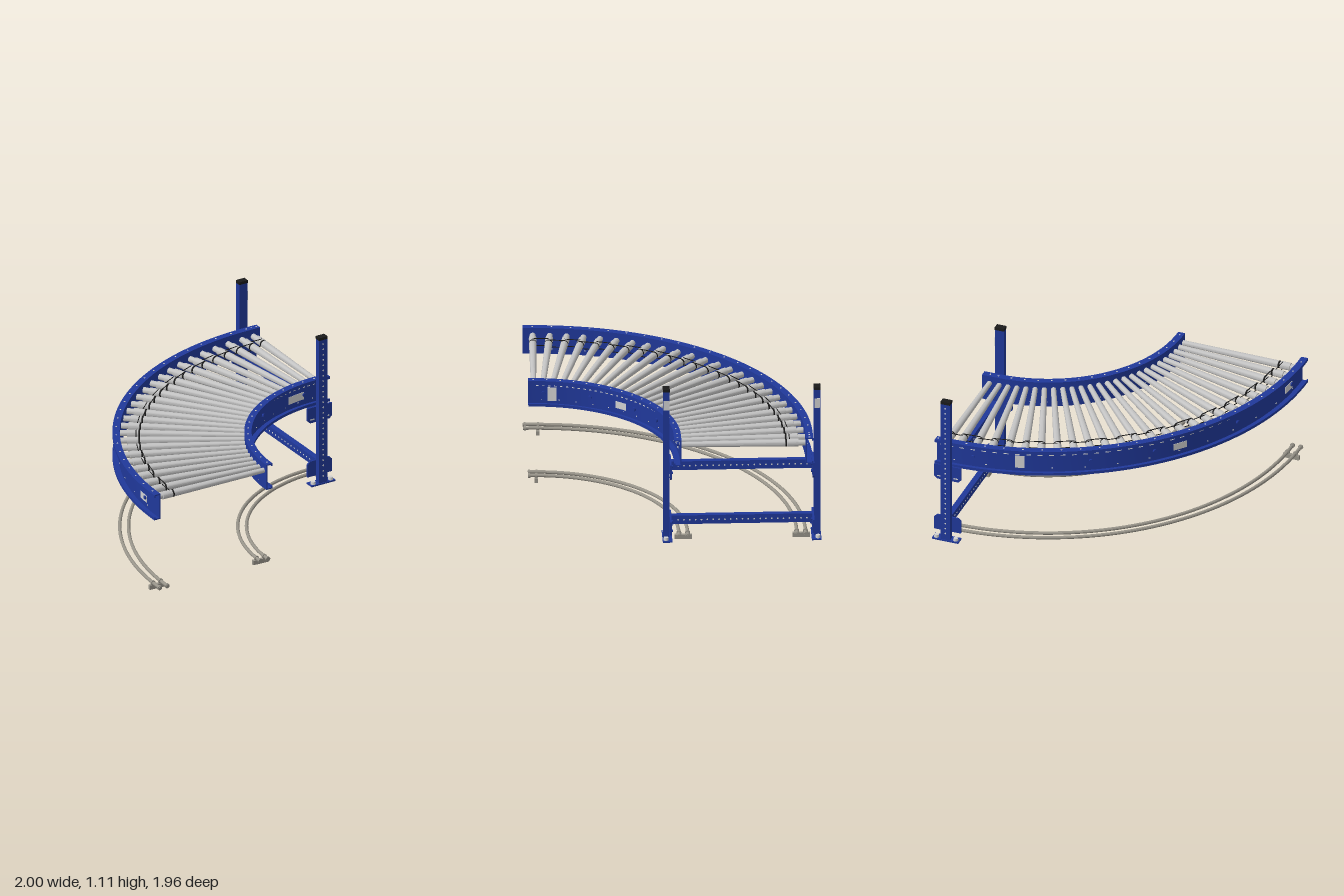
import * as THREE from 'three';
import { mergeGeometries, toCreasedNormals } from 'three/addons/utils/BufferGeometryUtils.js';

const CX = 0.9, CZ = 0.98; // centre of the bend
const RAD = Math.PI / 180;

const paint = (name, color, side = THREE.FrontSide) => {
  const m = new THREE.MeshStandardMaterial({ color, side });
  m.name = name;
  return m;
};

// Point on the bend: 0..90 degrees is the arc, 90..100 the short straight run-out.
function bend(r, t) {
  if (t > 90) return [CX + (t - 90) * 0.01, CZ - r];
  return [CX - r * Math.cos(t * RAD), CZ - r * Math.sin(t * RAD)];
}

// Sweep a closed (radius, height) profile along the bend, with end caps.
function sweep(profile, t0 = 0, t1 = 100, step = 2) {
  const pts = profile.map(([r, y]) => new THREE.Vector2(r, y));
  if (THREE.ShapeUtils.isClockWise(pts)) pts.reverse();
  const stops = [t0];
  for (let t = t0 + step; t < Math.min(t1, 90) - 0.01; t += step) stops.push(t);
  if (t1 > 90 && t0 < 90) stops.push(90);
  stops.push(t1);
  const n = pts.length, pos = [], idx = [];
  for (const t of stops) for (const p of pts) {
    const [x, z] = bend(p.x, t);
    pos.push(x, p.y, z);
  }
  for (let i = 0; i < stops.length - 1; i++) for (let j = 0; j < n; j++) {
    const k = (j + 1) % n;
    const a = i * n + j, b = i * n + k, c = b + n, d = a + n;
    idx.push(a, b, c, a, c, d);
  }
  const last = (stops.length - 1) * n;
  for (const [a, b, c] of THREE.ShapeUtils.triangulateShape(pts, [])) {
    idx.push(a, c, b, last + a, last + b, last + c);
  }
  const g = new THREE.BufferGeometry();
  g.setAttribute('position', new THREE.Float32BufferAttribute(pos, 3));
  g.setIndex(idx);
  return toCreasedNormals(g, 0.6);
}

const rect = (r0, r1, y0, y1) => [[r0, y0], [r1, y0], [r1, y1], [r0, y1]];
const ring = (r, y, rad, n = 10) => Array.from({ length: n }, (_, i) =>
  [r + rad * Math.cos(i / n * 2 * Math.PI), y + rad * Math.sin(i / n * 2 * Math.PI)]);

export function createModel() {
  const model = new THREE.Group();
  model.name = 'curvedRollerConveyor';
  const blue = paint('blue paint', 0x20389a);
  const steel = paint('roller steel', 0xc2c2c2);
  const tubeGrey = paint('track grey', 0x98948a);
  const black = paint('black rubber', 0x1a1a1a);
  const pale = paint('pale grey', 0xd2d2d2, THREE.DoubleSide);

  const add = (name, geo, mat, x = 0, y = 0, z = 0, parent = model) => {
    const m = new THREE.Mesh(geo, mat);
    m.name = name;
    m.position.set(x, y, z);
    parent.add(m);
    return m;
  };

  // Side rails: lipped channels with the web on the roller side
  function rail(name, web, s, labels) {
    const g = new THREE.Group();
    g.name = name;
    model.add(g);
    const T = 0.008, W = 0.05, y0 = 0.572, y1 = 0.762, L = 0.02;
    const outline = [[0, y0], [W, y0], [W, y0 + L], [W - T, y0 + L], [W - T, y0 + T], [T, y0 + T],
      [T, y1 - T], [W - T, y1 - T], [W - T, y1 - L], [W, y1 - L], [W, y1], [0, y1]];
    add('channel', sweep(outline.map(([d, y]) => [web + s * d, y])), blue, 0, 0, 0, g);

    // Slots, holes and labels on the outer face of the web
    const face = web + s * T, skin = face + s * 0.002;
    const marks = [];
    for (let t = 3; t < 97; t += 2.4) marks.push(sweep(rect(face, skin, 0.707, 0.713), t, t + 1));
    for (let t = 5; t < 90; t += 7) marks.push(sweep(rect(face, skin, 0.604, 0.611), t, t + 0.35));
    add('webSlots', mergeGeometries(marks), pale, 0, 0, 0, g);
    const plates = labels.map(([t, half, a, b]) => sweep(rect(face, skin + s * 0.001, a, b), t - half, t + half));
    add('labels', mergeGeometries(plates), pale, 0, 0, 0, g);
    const bolts = [6, 25, 46, 60, 85].map(t => {
      const b = new THREE.CylinderGeometry(0.014, 0.014, 0.014, 6).rotateZ(Math.PI / 2).rotateY(-t * RAD);
      const [x, z] = bend(face + s * 0.005, t);
      return b.translate(x, 0.655, z);
    });
    add('webBolts', mergeGeometries(bolts), blue, 0, 0, 0, g);

    // Small holes on the roller face and on the top flange
    const inner = [], top = [];
    for (let t = 6; t < 90; t += 7) inner.push(sweep(rect(web, web - s * 0.002, 0.604, 0.61), t, t + 0.3));
    for (let t = 2; t < 100; t += 3.9 * 1.4 / Math.sqrt(web)) {
      const [x, z] = bend(web + s * W / 2, t);
      top.push(new THREE.CylinderGeometry(0.006, 0.006, 0.002, 8).translate(x, y1 + 0.001, z));
    }
    add('innerHoles', mergeGeometries(inner), pale, 0, 0, 0, g);
    add('flangeHoles', mergeGeometries(top), pale, 0, 0, 0, g);
  }
  rail('outerRail', 1.85, 1, [[75, 1, 0.605, 0.7], [40, 1.6, 0.62, 0.67], [7, 1.6, 0.62, 0.67]]);
  rail('innerRail', 1.0, -1, [[9.4, 1.8, 0.6, 0.7], [39, 2.6, 0.62, 0.67], [81, 4, 0.62, 0.675]]);

  // Tapered rollers with a grooved drive collar at the outer end
  const rollerGeo = toCreasedNormals(new THREE.LatheGeometry([[0, 1], [0.018, 1], [0.026, 1.71],
    [0.022, 1.712], [0.022, 1.723], [0.027, 1.725], [0.027, 1.8], [0.021, 1.802], [0.021, 1.85], [0, 1.85]]
    .map(p => new THREE.Vector2(...p)), 18), 0.6).rotateZ(Math.PI / 2);
  const bandGeo = new THREE.CylinderGeometry(0.0265, 0.0265, 0.01, 18, 1)
    .translate(0, 1.7175, 0).rotateZ(Math.PI / 2);
  const rollers = new THREE.Group();
  rollers.name = 'rollers';
  model.add(rollers);
  const ROLLER_Y = 0.707;
  for (let i = 0; i < 26; i++) {
    const straight = i === 25;
    const t = straight ? 90 : 2.1 + i * 3.6;
    const r = add('roller', rollerGeo, steel, CX + (straight ? 0.045 : 0), ROLLER_Y, CZ, rollers);
    r.rotation.y = -t * RAD;
    add('rollerBand', bandGeo, black, 0, 0, 0, r);
  }

  // Drive belts linking neighbouring rollers, staggered between two grooves
  const belts = [];
  for (let i = 0; i < 25; i++) {
    const t = 2.1 + i * 3.6, r = i % 2 ? 1.717 : 1.74;
    for (const dy of [-0.026, 0.026]) {
      belts.push(sweep(ring(r, ROLLER_Y + dy, 0.003, 6), t, i === 24 ? 94.5 : t + 3.6, 4));
    }
  }
  add('driveBelts', mergeGeometries(belts), black);

  // Floor tracks: twin bent tubes on small brackets
  const across = new THREE.BoxGeometry(0.12, 0.032, 0.022);
  for (const [name, r] of [['outerTrack', 1.82], ['innerTrack', 1.015]]) {
    const g = new THREE.Group();
    g.name = name;
    model.add(g);
    for (const d of [-0.03, 0.03]) {
      add('tube', sweep(ring(r + d, 0.044, 0.012)), tubeGrey, 0, 0, 0, g);
      for (const t of [0.4, 3.2, 93, 99]) {
        const [x, z] = bend(r + d, t);
        const c = add('clamp', new THREE.CylinderGeometry(0.017, 0.017, 0.014, 12).rotateX(Math.PI / 2),
          tubeGrey, x, 0.044, z, g);
        c.rotation.y = -Math.min(t, 90) * RAD;
      }
    }
    for (const t of [3.2, 93]) {
      const [x, z] = bend(r, t);
      add('bracket', across, tubeGrey, x, 0.016, z, g).rotation.y = -Math.min(t, 90) * RAD;
    }
  }

  // End stand: two posts, each built facing +z and the rear one turned round
  const POST_X = 0.903;
  const plateShape = new THREE.Shape([[-0.098, 0.115], [-0.098, 0.02], [-0.078, 0], [0.078, 0], [0.098, 0.02], [0.098, 0.115]]
    .map(p => new THREE.Vector2(...p)));
  const plateGeo = new THREE.ExtrudeGeometry(plateShape, { depth: 0.012, bevelEnabled: false });
  const dot = new THREE.CylinderGeometry(0.006, 0.006, 0.002, 8).rotateX(Math.PI / 2);
  for (const [name, z, turn] of [['frontPost', 0.08, 0], ['rearPost', -0.95, Math.PI]]) {
    const g = new THREE.Group();
    g.name = name;
    g.position.set(POST_X, 0, z);
    g.rotation.y = turn;
    model.add(g);
    add('upright', new THREE.BoxGeometry(0.066, 1.085, 0.044), blue, 0, 0.5505, 0, g);
    add('cap', new THREE.BoxGeometry(0.068, 0.02, 0.046), black, 0, 1.102, 0, g);
    add('foot', new THREE.BoxGeometry(0.192, 0.01, 0.066), blue, 0, 0.005, -0.006, g);
    const holes = [];
    for (let y = 0.06; y < 1.08; y += 0.04) holes.push(dot.clone().translate(0, y, 0.0225));
    add('postHoles', mergeGeometries(holes), pale, 0, 0, 0, g);
    const labelX = turn ? -0.034 : 0.034; // always on the outlet side
    add('postLabel', new THREE.BoxGeometry(0.003, 0.07, 0.04), pale, labelX, 0.995, 0, g);

    // Mounting plates with chamfered corners, the lower one upside down
    add('upperPlate', plateGeo, blue, 0, 0.46, -0.034, g);
    const low = add('lowerPlate', plateGeo, blue, 0, 0.17, -0.022, g);
    low.rotation.x = Math.PI;
    low.position.z = -0.022;
    for (const sx of [-1, 1]) {
      add('anchorBolt', new THREE.CylinderGeometry(0.016, 0.018, 0.02, 12), pale, sx * 0.07, 0.02, 0.004, g);
      add('plateSlot', new THREE.BoxGeometry(0.035, 0.008, 0.003), pale, sx * 0.06, 0.485, -0.0215, g);
      for (const y of [0.5, 0.55, 0.07, 0.14]) {
        add('plateBolt', new THREE.CylinderGeometry(0.01, 0.01, 0.012, 6).rotateX(Math.PI / 2),
          blue, sx * 0.05, y, -0.038, g);
      }
    }
  }

  // Cross beams with a row of holes on both sides
  for (const [name, y] of [['upperBeam', 0.539], ['lowerBeam', 0.136]]) {
    add(name, new THREE.BoxGeometry(0.04, 0.064, 0.97), blue, POST_X, y, -0.435);
    const holes = [];
    for (let z = -0.88; z < 0.03; z += 0.04) for (const s of [-1, 1]) {
      holes.push(dot.clone().rotateY(Math.PI / 2).translate(POST_X + s * 0.0205, y, z));
    }
    add(name + 'Holes', mergeGeometries(holes), pale);
  }
  return model;
}
